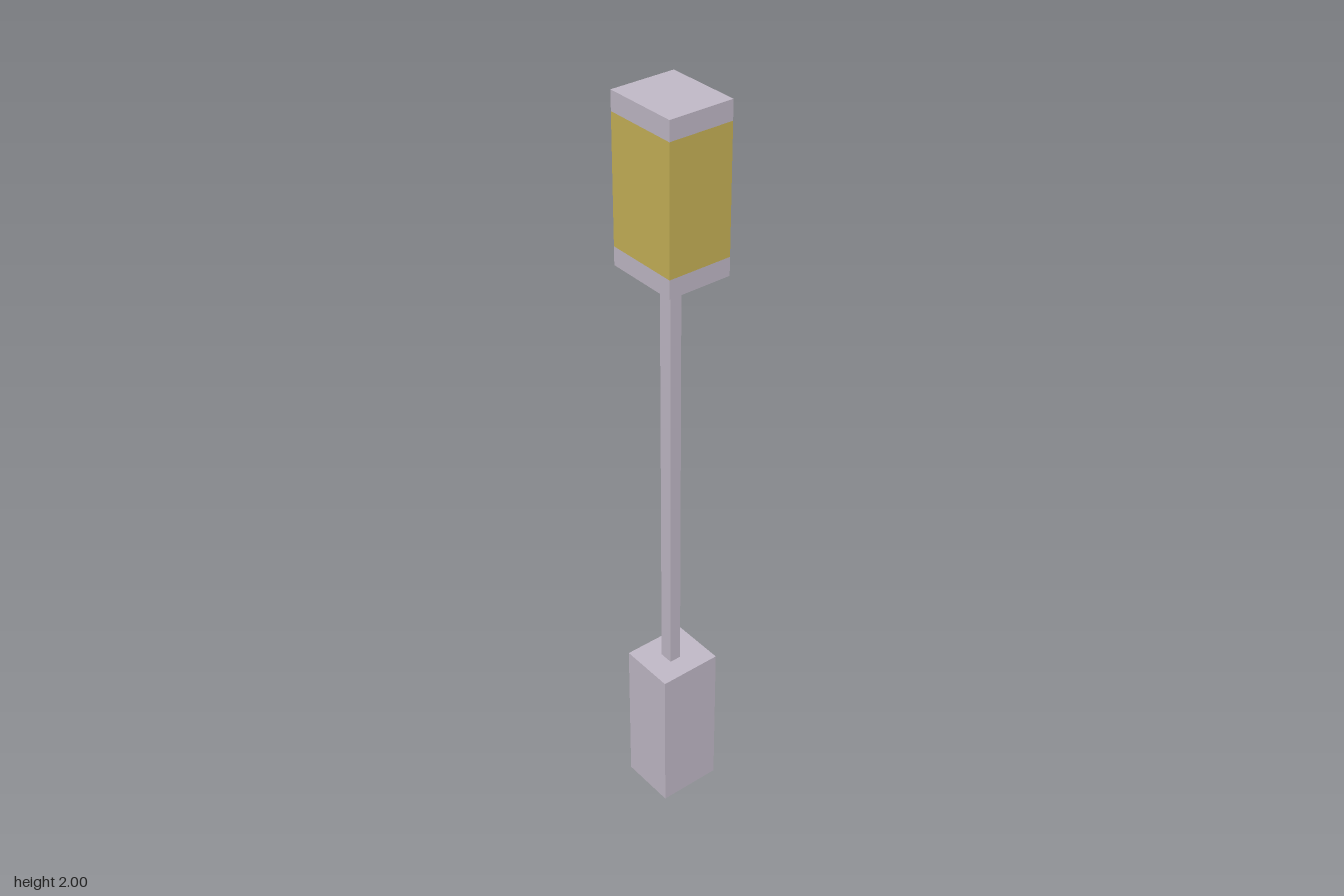
import * as THREE from 'three';

export function createModel() {
  const model = new THREE.Group();
  model.name = 'lampPost';
  const stone = new THREE.MeshStandardMaterial({ color: 0xc3bbc9 });
  stone.name = 'pale grey';
  const glow = new THREE.MeshStandardMaterial({ color: 0xc9b458 });
  glow.name = 'lamp yellow';

  // Box given by its extents on each axis
  function block(name, [x0, x1], [y0, y1], [z0, z1], material, rows = 1) {
    const geometry = new THREE.BoxGeometry(x1 - x0, y1 - y0, z1 - z0, 1, rows, 1);
    geometry.translate((x0 + x1) / 2, (y0 + y1) / 2, (z0 + z1) / 2);
    const mesh = new THREE.Mesh(geometry, material);
    mesh.name = name;
    model.add(mesh);
    return mesh;
  }

  block('base', [-0.078, 0.076], [0, 0.425], [-0.0875, 0.084], stone);
  block('pole', [-0.02, 0.018], [0.425, 1.58], [-0.013, 0.019], stone);

  // Lantern head: three rows per side, the middle one is the lit band
  const head = block('lanternHead', [-0.1, 0.1], [1.58, 2], [-0.085, 0.0865], [stone, glow], 3);
  const geometry = head.geometry;
  const position = geometry.attributes.position;
  for (let i = 0; i < position.count; i++) {
    const y = position.getY(i);
    if (y > 1.6 && y < 1.98) position.setY(i, y > 1.79 ? 1.951 : 1.628);
  }
  geometry.clearGroups();
  for (const side of [0, 18, 48, 66]) {
    [0, 1, 0].forEach((material, row) => geometry.addGroup(side + row * 6, 6, material));
  }
  geometry.addGroup(36, 12, 0); // top and bottom
  return model;
}
